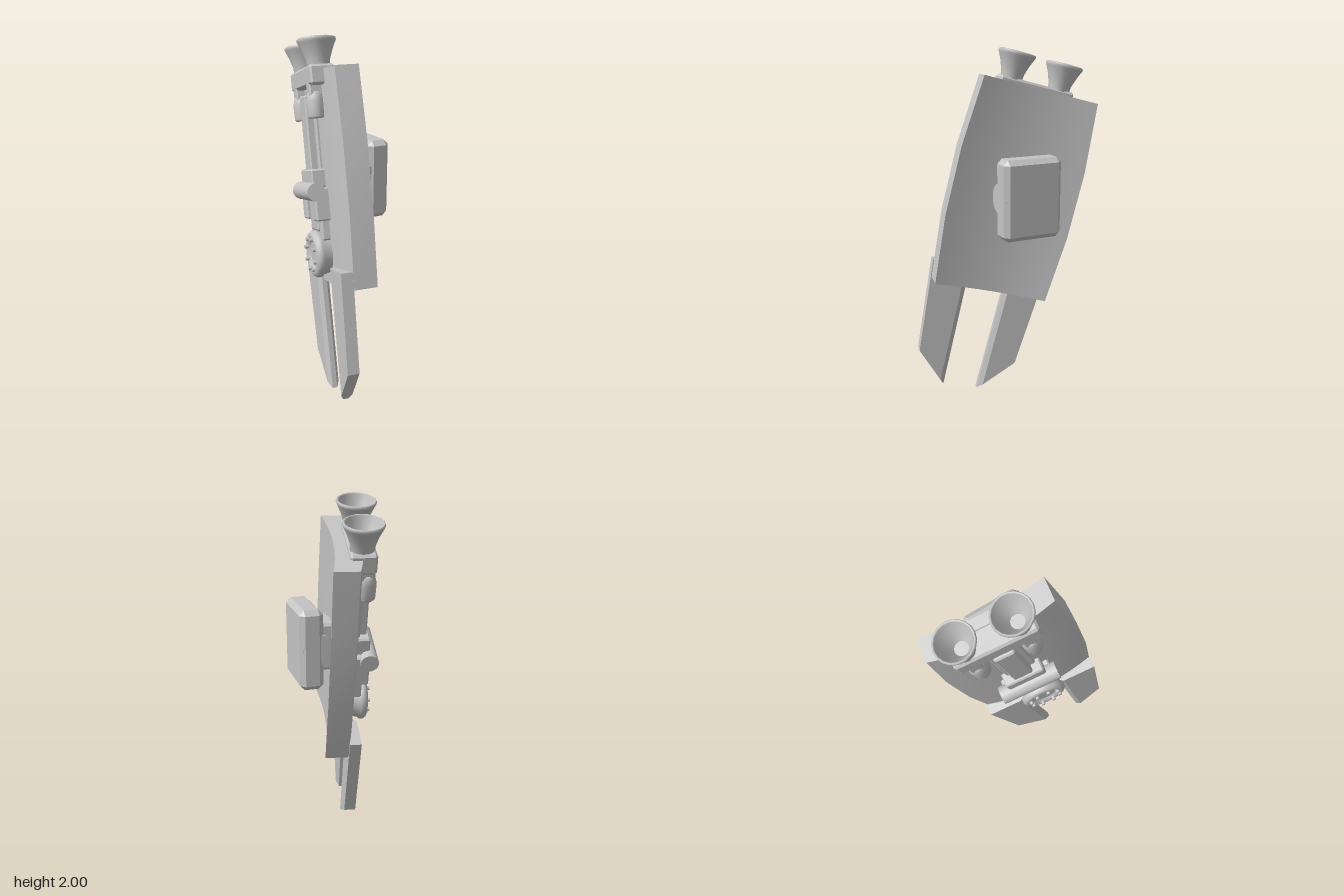
import * as THREE from 'three';
import { ConvexGeometry } from 'three/addons/geometries/ConvexGeometry.js';

const metal = new THREE.MeshStandardMaterial({ color: 0xc4c4c4 });
metal.name = 'light grey metal';

function add(parent, name, geometry, x = 0, y = 0, z = 0) {
  const mesh = new THREE.Mesh(geometry, metal);
  mesh.name = name;
  mesh.position.set(x, y, z);
  parent.add(mesh);
  return mesh;
}

// Convex box with all edges and corners cut
function chamferBox(w, h, d, c) {
  const pts = [];
  for (const i of [-1, 1]) for (const j of [-1, 1]) for (const k of [-1, 1]) {
    const x = i * w / 2, y = j * h / 2, z = k * d / 2;
    pts.push(new THREE.Vector3(x, y - j * c, z - k * c),
      new THREE.Vector3(x - i * c, y, z - k * c),
      new THREE.Vector3(x - i * c, y - j * c, z));
  }
  return new ConvexGeometry(pts);
}

// Box given by its limits: outward, up, along the width
function block(parent, name, x0, x1, y0, y1, z0, z1, c = 0.008) {
  return add(parent, name, chamferBox(x1 - x0, y1 - y0, z1 - z0, c),
    (x0 + x1) / 2, (y0 + y1) / 2, (z0 + z1) / 2);
}

const lathe = (pts, sides) =>
  new THREE.LatheGeometry(pts.map(([r, y]) => new THREE.Vector2(r, y)), sides);

// Curved plate, hollow towards +x and wider in the middle
function panelGeometry() {
  const g = new THREE.BoxGeometry(1, 1, 1, 1, 3, 10);
  const p = g.attributes.position;
  for (let i = 0; i < p.count; i++) {
    const x = p.getX(i), y = p.getY(i), z = p.getZ(i);
    const half = Math.abs(y) < 0.4 ? 0.36 : 0.328;
    const sag = (x > 0 ? 0.032 : 0.045) * (1 - 4 * z * z);
    p.setXYZ(i, x * 0.13 - sag, y * 1.16, z * 2 * half);
  }
  g.computeVertexNormals();
  return g;
}

// Slanted blade with a thinned inner edge; s mirrors it
function bladeGeometry(s) {
  const t = 0.033, e = 0.014, pts = [];
  const put = (half, list) => {
    for (const [u, v] of list) for (const k of [-1, 1]) pts.push(new THREE.Vector3(k * half, v, u * s));
  };
  put(t, [[0.142, -0.48], [0.34, -0.48], [0.296, -1.035], [0.132, -1.2]]);
  put(e, [[0.116, -0.48], [0.104, -1.23]]);
  return new ConvexGeometry(pts);
}

export function createModel() {
  const model = new THREE.Group();
  model.name = 'shield';

  // Leaning frame that carries everything but the grip
  const frame = new THREE.Group();
  frame.name = 'leaningFrame';
  const up = new THREE.Vector3(0.035, 0.967, -0.25).normalize();
  const out = up.clone().cross(new THREE.Vector3(-0.18, 0.25, 0.95)).normalize();
  const along = out.clone().cross(up);
  frame.quaternion.setFromRotationMatrix(new THREE.Matrix4().makeBasis(out, up, along));
  frame.position.set(0, 1.22, -0.03);
  model.add(frame);

  add(frame, 'panel', panelGeometry());

  // Thruster mount
  block(frame, 'thrusterMount', -0.165, -0.03, 0.5, 0.605, -0.215, 0.215, 0.012);

  for (const s of [-1, 1]) {
    add(frame, 'blade', bladeGeometry(s), -0.1);

    // Bell nozzle with a rolled rim and a flat throat
    const bell = lathe([[0.06, 0.585], [0.064, 0.63], [0.083, 0.685], [0.1, 0.722], [0.105, 0.732],
      [0.104, 0.742], [0.098, 0.746], [0.092, 0.74], [0.075, 0.69], [0.035, 0.625]], 18);
    add(frame, 'nozzle', bell, -0.095, 0, s * 0.141);
    const throat = new THREE.CircleGeometry(0.036, 18);
    throat.rotateX(-Math.PI / 2);
    add(frame, 'throat', throat, -0.095, 0.626, s * 0.141);

    // Feed barrel below the nozzle
    block(frame, 'feedNeck', -0.165, -0.075, 0.44, 0.58, s * 0.141 - 0.033, s * 0.141 + 0.033);
    add(frame, 'feedBarrel', lathe([[0, 0.33], [0.04, 0.33], [0.048, 0.34], [0.05, 0.42],
      [0.042, 0.45], [0.034, 0.47], [0, 0.47]], 16), -0.13, 0, s * 0.141);

    // Side legs and feet of the central mechanism
    block(frame, 'sideLeg', -0.18, -0.09, -0.22, -0.04, s * 0.1 - 0.04, s * 0.1 + 0.04);
    block(frame, 'foot', -0.15, -0.09, -0.33, -0.2, s * 0.085 - 0.025, s * 0.085 + 0.025);
  }

  // Central mechanism
  block(frame, 'rail', -0.165, -0.08, 0.04, 0.46, -0.055, 0.055);
  block(frame, 'railBed', -0.125, -0.08, 0.02, 0.5, -0.085, 0.085);
  block(frame, 'upperBlock', -0.18, -0.09, -0.04, 0.06, -0.11, 0.11);
  block(frame, 'lowerBlock', -0.16, -0.09, -0.28, -0.04, -0.065, 0.065);
  const roller = new THREE.CylinderGeometry(0.05, 0.05, 0.33, 20);
  roller.rotateX(Math.PI / 2);
  add(frame, 'roller', roller, -0.175, -0.06, 0);

  // Round hub with a sunken face and a ring of bolts
  const hub = new THREE.Group();
  hub.name = 'hub';
  hub.position.set(-0.09, -0.41, 0.01);
  hub.rotation.z = Math.PI / 2;
  frame.add(hub);
  add(hub, 'hubRim', lathe([[0.11, 0], [0.12, 0.05], [0.132, 0.065], [0.132, 0.085], [0.122, 0.1],
    [0.105, 0.107], [0.085, 0.1], [0.072, 0.088], [0.066, 0.088]], 28));
  add(hub, 'hubFace', new THREE.CylinderGeometry(0.066, 0.066, 0.09, 28), 0, 0.045, 0);
  for (let i = 0; i < 8; i++) {
    const a = (i + 0.5) * Math.PI / 4;
    add(hub, 'bolt', new THREE.CylinderGeometry(0.011, 0.011, 0.03, 8),
      Math.cos(a) * 0.09, 0.105, Math.sin(a) * 0.09);
  }

  // Grip box, upright, with its bracket and pivot
  block(model, 'gripBox', 0.11, 0.24, 1.0, 1.44, -0.21, 0.13, 0.027);
  block(model, 'gripBracket', 0.02, 0.12, 1.09, 1.35, -0.155, 0.07, 0.015);
  const pivot = new THREE.CylinderGeometry(0.085, 0.085, 0.32, 24);
  pivot.rotateX(Math.PI / 2);
  add(model, 'gripPivot', pivot, 0.14, 1.22, -0.04);

  return model;
}
